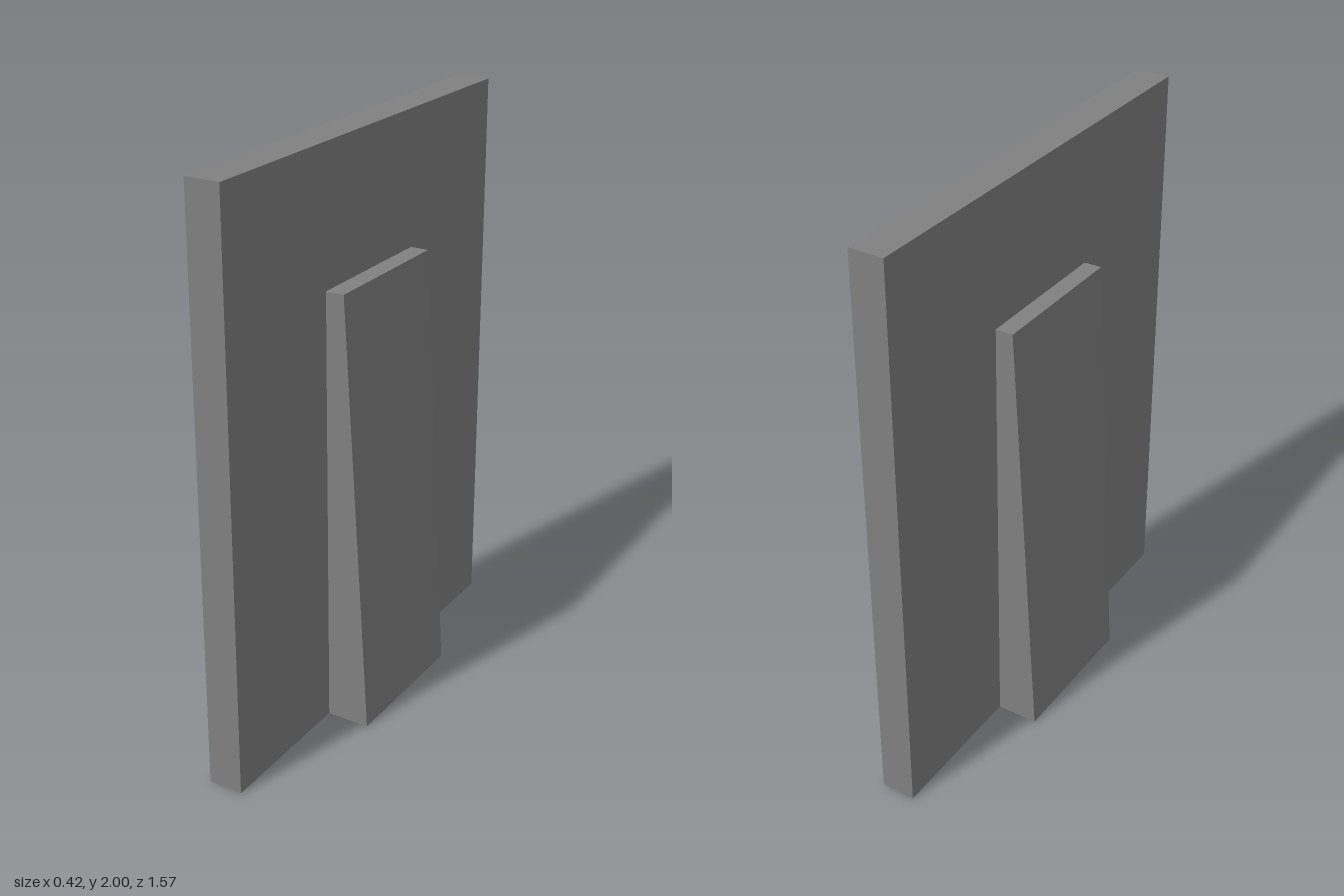
import * as THREE from 'three';

export function createModel() {
  const group = new THREE.Group();
  const grey = new THREE.MeshStandardMaterial({ color: 0x808080 });
  grey.name = 'grey';

  const left = 0.055, right = -0.065; // panel faces
  const panelDepth = 1.574, buttressDepth = 0.524, buttressHeight = 1.535;

  // Upright slab
  const panel = new THREE.Mesh(new THREE.BoxGeometry(left - right, 2, panelDepth), grey);
  panel.name = 'panel';
  panel.position.set((left + right) / 2, 1, 0);
  group.add(panel);

  // Tapered supports, wide at the foot, one on each face of the slab
  function addButtress(name, inner, top, foot) {
    const shape = new THREE.Shape([
      new THREE.Vector2(inner, 0),
      new THREE.Vector2(foot, 0),
      new THREE.Vector2(top, buttressHeight),
      new THREE.Vector2(inner, buttressHeight),
    ]);
    const geometry = new THREE.ExtrudeGeometry(shape, { depth: buttressDepth, bevelEnabled: false });
    geometry.translate(0, 0, -buttressDepth / 2);
    const mesh = new THREE.Mesh(geometry, grey);
    mesh.name = name;
    group.add(mesh);
  }
  addButtress('leftButtress', left, 0.119, 0.207);
  addButtress('rightButtress', right, -0.126, -0.21);

  return group;
}
